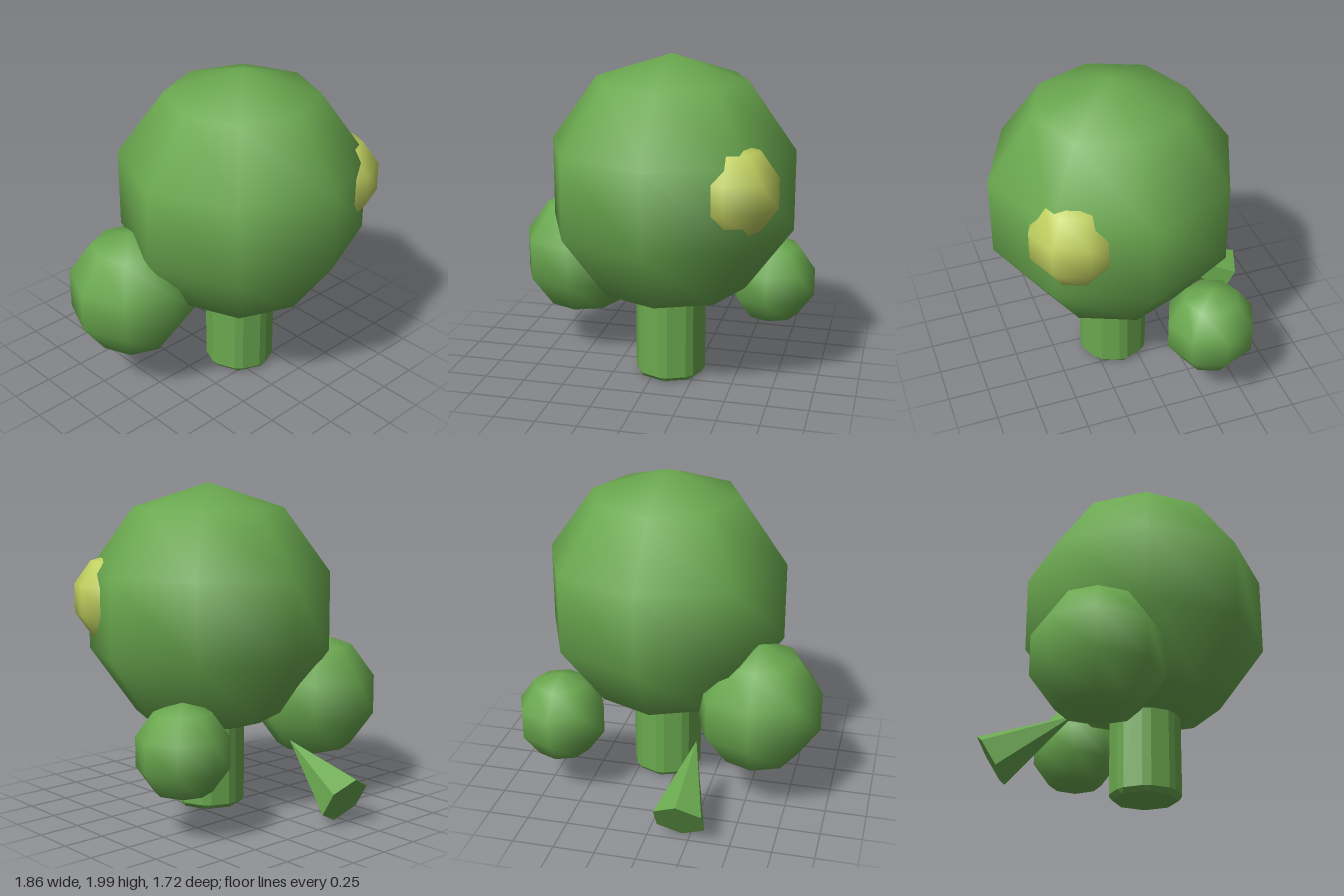
import * as THREE from 'three';

export function createModel() {
  const model = new THREE.Group();
  model.name = 'tree';
  const green = new THREE.MeshStandardMaterial({ color: 0x6aa84f });
  green.name = 'leaf green';
  const greenFlat = green.clone();
  greenFlat.flatShading = true;
  greenFlat.name = 'leaf green faceted';
  const yellow = new THREE.MeshStandardMaterial({ color: 0xbfcf5f });
  yellow.name = 'fruit yellow';

  const add = (name, geometry, material, x, y, z) => {
    const mesh = new THREE.Mesh(geometry, material);
    mesh.name = name;
    mesh.position.set(x, y, z);
    model.add(mesh);
    return mesh;
  };
  const ball = (name, r, material, x, y, z) =>
    add(name, new THREE.SphereGeometry(r, 8, 5), material, x, y, z);

  // Foliage and fruit: coarse, smooth-shaded spheres
  ball('crown', 0.78, green, 0.09, 1.22, 0.115);
  ball('rightBush', 0.4, green, -0.555, 0.65, -0.17);
  ball('leftBush', 0.284, green, 0.655, 0.508, -0.315);
  ball('fruit', 0.284, yellow, 0.515, 1.297, 0.47);

  // Trunk: octagonal prism with bevelled corners and a chamfered foot
  const ring = (y, r, halfAngle) => {
    const points = [];
    for (let i = 0; i < 8; i++) {
      for (const side of [-1, 1]) {
        const a = (i * Math.PI) / 4 + side * halfAngle;
        points.push([r * Math.sin(a), y, r * Math.cos(a)]);
      }
    }
    return points;
  };
  const rings = [ring(0.01, 0, 0), ring(0.01, 0.197, 0), ring(0.038, 0.216, 0.123),
    ring(0.87, 0.216, 0.123), ring(0.9, 0.197, 0), ring(0.9, 0, 0)];
  const positions = [];
  for (let k = 0; k < rings.length - 1; k++) {
    for (let i = 0; i < 16; i++) {
      const j = (i + 1) % 16;
      const [a, b, c, d] = [rings[k][i], rings[k][j], rings[k + 1][j], rings[k + 1][i]];
      positions.push(...a, ...b, ...c, ...a, ...c, ...d);
    }
  }
  const trunk = new THREE.BufferGeometry();
  trunk.setAttribute('position', new THREE.Float32BufferAttribute(positions, 3));
  trunk.computeVertexNormals();
  add('trunk', trunk, greenFlat, 0.087, 0, 0.115);

  // Six-sided cone, its tip pointing up and forward
  const spike = add('backCone', new THREE.ConeGeometry(0.166, 0.54, 6), greenFlat, -0.2, 0.291, -0.542);
  spike.rotation.x = 1.033;

  return model;
}
